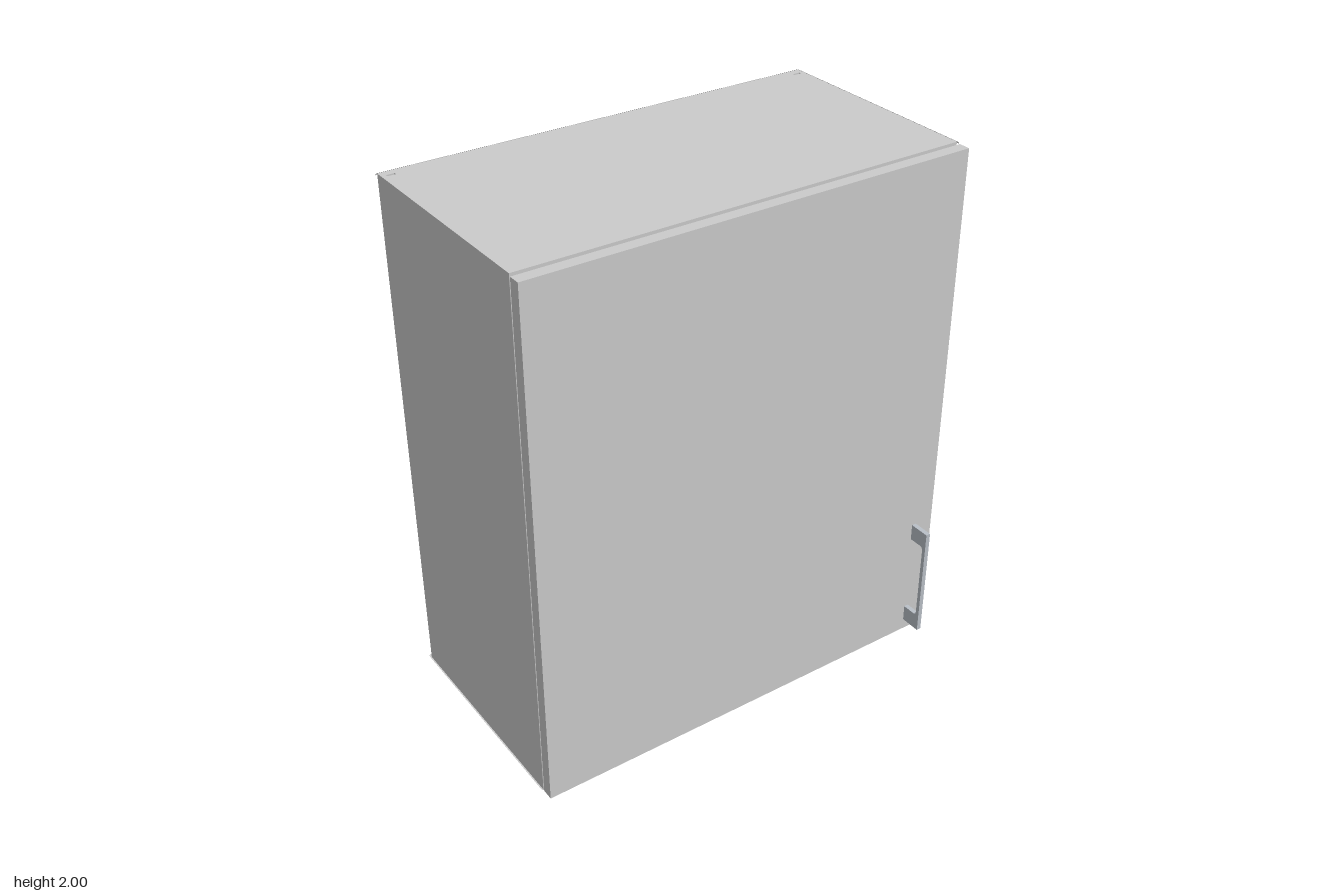
import * as THREE from 'three';

const HALF_W = 0.855, BACK = -0.497, FRONT = 0.37, HEIGHT = 2, EDGE = 0.008;
const SLOT = { x: 0.815, z: -0.455, w: 0.03, d: 0.011 };

// Rounded rectangle outline in the plan plane, points (x, -z), counter-clockwise
function outline(cx, cz, hw, hd, r) {
  const pts = [];
  const corners = [[1, 1], [-1, 1], [-1, -1], [1, -1]];
  corners.forEach(([sx, sy], q) => {
    for (let i = 0; i <= 4; i++) {
      const a = (q + i / 4) * Math.PI / 2;
      pts.push(new THREE.Vector2(
        cx + sx * (hw - r) + r * Math.cos(a),
        -cz + sy * (hd - r) + r * Math.sin(a)));
    }
  });
  return pts;
}

// Wall skin through a stack of outlines, each { y, pts }
function loft(rings) {
  const pos = [], index = [], n = rings[0].pts.length;
  rings.forEach(({ y, pts }) => pts.forEach((p) => pos.push(p.x, y, -p.y)));
  for (let k = 0; k < rings.length - 1; k++) {
    for (let i = 0; i < n; i++) {
      const a = k * n + i, b = k * n + (i + 1) % n;
      index.push(a, b, b + n, a, b + n, a + n);
    }
  }
  const g = new THREE.BufferGeometry();
  g.setAttribute('position', new THREE.Float32BufferAttribute(pos, 3));
  g.setIndex(index);
  const flat = g.toNonIndexed();
  flat.computeVertexNormals();
  return flat;
}

export function createModel() {
  const model = new THREE.Group();
  model.name = 'wallCabinet';
  const grey = new THREE.MeshStandardMaterial({ color: 0xcccccc });
  const inner = new THREE.MeshStandardMaterial({ color: 0xcccccc, side: THREE.BackSide });
  const steel = new THREE.MeshStandardMaterial({ color: 0xbac0c8 });

  const add = (name, geometry, material, parent = model) => {
    const mesh = new THREE.Mesh(geometry, material);
    mesh.name = name;
    parent.add(mesh);
    return mesh;
  };

  // Cabinet body: walls with softened edges all round
  const body = new THREE.Group();
  body.name = 'cabinetBody';
  model.add(body);
  const midZ = (BACK + FRONT) / 2, halfD = (FRONT - BACK) / 2;
  const section = (inset) =>
    outline(0, midZ, HALF_W - inset, halfD - inset, EDGE - inset + 0.001);
  const rings = [];
  for (let i = 0; i <= 4; i++) {
    const a = i / 4 * Math.PI / 2;
    rings.push({ y: EDGE * (1 - Math.sin(a)), pts: section(EDGE * (1 - Math.cos(a))) });
  }
  const upper = rings.map(({ y, pts }) => ({ y: HEIGHT - y, pts })).reverse();
  add('bodyWalls', loft([...rings, ...upper]), grey, body);

  // Top and bottom panels pierced by the two rear hanging slots
  const slots = [-1, 1].map((s) => outline(s * SLOT.x, SLOT.z, SLOT.w / 2, SLOT.d / 2, 0.002));
  const panel = new THREE.Shape(section(EDGE));
  slots.forEach((pts) => panel.holes.push(new THREE.Path(pts)));
  const top = add('topPanel', new THREE.ShapeGeometry(panel), grey, body);
  top.rotation.x = -Math.PI / 2;
  top.position.y = HEIGHT;
  const bottom = add('bottomPanel', new THREE.ShapeGeometry(panel), inner, body);
  bottom.rotation.x = -Math.PI / 2;
  slots.forEach((pts, i) => add(i ? 'leftSlot' : 'rightSlot',
    loft([{ y: 0, pts }, { y: HEIGHT, pts }]), inner, body));

  // Door, slightly smaller than the body and set just clear of it
  const door = add('door', new THREE.BoxGeometry(1.7, 1.99, 0.044), grey);
  door.position.set(0, 1, 0.395);

  // Bow handle: flat bar with two legs, profile points (z, y)
  const bow = new THREE.Shape();
  bow.moveTo(0.417, 0.05);
  bow.lineTo(0.497, 0.05);
  bow.lineTo(0.497, 0.505);
  bow.lineTo(0.417, 0.505);
  bow.lineTo(0.417, 0.44);
  bow.lineTo(0.467, 0.44);
  bow.quadraticCurveTo(0.482, 0.44, 0.482, 0.425);
  bow.lineTo(0.482, 0.13);
  bow.quadraticCurveTo(0.482, 0.115, 0.467, 0.115);
  bow.lineTo(0.417, 0.115);
  bow.closePath();
  const handle = add('handle',
    new THREE.ExtrudeGeometry(bow, { depth: 0.018, bevelEnabled: false, curveSegments: 6 }), steel);
  handle.rotation.y = -Math.PI / 2;
  handle.position.x = 0.773;

  return model;
}
